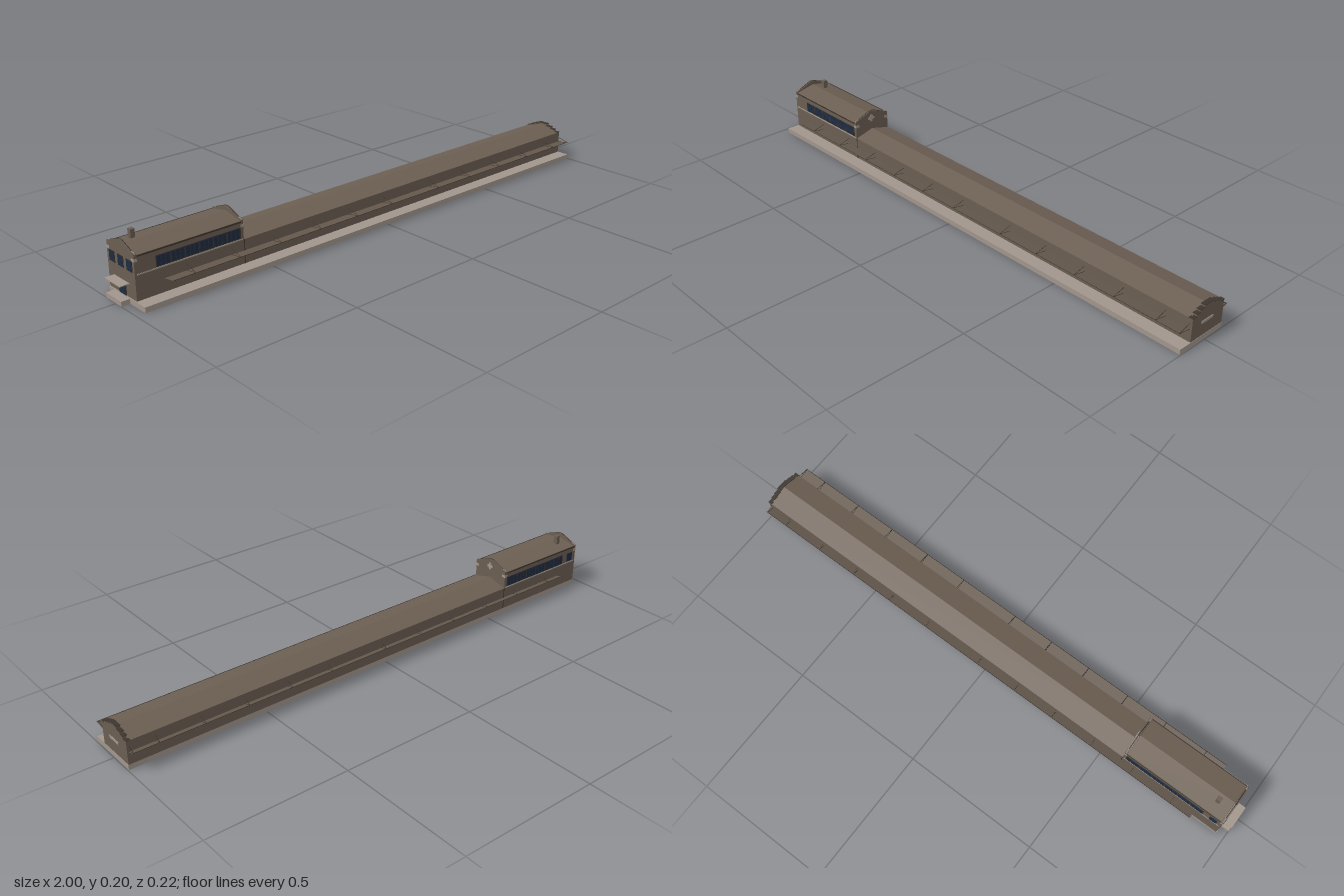
import * as THREE from 'three';

const material = (name, color, side = THREE.FrontSide) => {
  const m = new THREE.MeshStandardMaterial({ color, side });
  m.name = name;
  return m;
};

export function createModel() {
  const wall = material('brown wall', 0x6a5e52);
  const roof = material('brown roof', 0x6c5e52);
  const stone = material('pale stone', 0xa1968c);
  const trim = material('dark trim', 0x3d362f);
  const glass = material('blue glass', 0x1f2c42);
  const sheet = material('canopy brown', 0x64584c, THREE.DoubleSide);

  const model = new THREE.Group();
  model.name = 'railwayShed';
  const ZF = 0.064, ZB = -0.085, ZM = -0.0105;

  const add = (name, geometry, mat) => {
    const mesh = new THREE.Mesh(geometry, mat);
    mesh.name = name;
    model.add(mesh);
    return mesh;
  };
  // Box given by its two extreme corners
  const box = (name, mat, x0, x1, y0, y1, z0, z1) => {
    const g = new THREE.BoxGeometry(x1 - x0, y1 - y0, z1 - z0);
    g.translate((x0 + x1) / 2, (y0 + y1) / 2, (z0 + z1) / 2);
    return add(name, g, mat);
  };
  // Cross-section of [z, y] points drawn out along x
  const section = (name, mat, points, x0, x1) => {
    const shape = new THREE.Shape(points.map(([z, y]) => new THREE.Vector2(z, y)));
    const g = new THREE.ExtrudeGeometry(shape, { depth: x1 - x0, bevelEnabled: false });
    g.rotateY(-Math.PI / 2).translate(x1, 0, 0);
    return add(name, g, mat);
  };
  // Thin rod between two points
  const rod = (name, mat, a, b, r) => {
    const path = new THREE.LineCurve3(new THREE.Vector3(...a), new THREE.Vector3(...b));
    return add(name, new THREE.TubeGeometry(path, 1, r, 4), mat);
  };

  // Platform running under the whole building, and end steps
  box('platform', stone, -0.97, 0.997, 0, 0.018, ZB, 0.112);
  box('endStep', stone, -1, -0.97, 0, 0.016, -0.055, 0.03);
  box('endCanopy', stone, -1, -0.965, 0.062, 0.065, -0.055, 0.03);

  // Long low shed with pitched roof
  box('shedWalls', wall, -0.58, 0.985, 0.018, 0.1, ZB, ZF);
  section('shedRoof', roof, [[ZB, 0.1], [ZF, 0.1], [ZM, 0.12]], -0.58, 0.985);

  // Stepped end gable, mirrored about the ridge
  const steps = [[0.0745, 0.018], [0.0745, 0.102], [0.057, 0.102], [0.057, 0.11],
    [0.041, 0.11], [0.041, 0.117], [0.021, 0.117], [0.021, 0.125]];
  const stepped = [...steps.map(([d, y]) => [ZM + d, y]),
    ...[...steps].reverse().map(([d, y]) => [ZM - d, y])];
  section('steppedGable', wall, stepped, 0.983, 0.996);
  // Dark coping on each tread
  for (const s of [-1, 1]) {
    [[0.057, 0.0755, 0.102], [0.041, 0.058, 0.11], [0.021, 0.042, 0.117], [0, 0.022, 0.125]].forEach(([a, b, y]) => {
      const z = [ZM + s * a, ZM + s * b].sort((p, q) => p - q);
      box('gableCoping', trim, 0.981, 0.997, y - 0.0008, y + 0.0008, z[0], z[1]);
    });
  }
  box('endPlate', stone, 0.993, 0.998, 0.063, 0.072, -0.035, 0.019);

  // Tall office block, its roof kept below the parapet gables
  box('officeWalls', wall, -0.96, -0.582, 0.018, 0.16, ZB, ZF);
  section('officeRoof', roof, [[ZB, 0.16], [ZF, 0.16], [ZF - 0.002, 0.163], [ZM, 0.178], [ZB + 0.002, 0.163]], -0.96, -0.582);
  const gableTop = [[ZF, 0.166], [ZF - 0.004, 0.17], [ZF - 0.016, 0.172],
    [ZM + 0.008, 0.192], [ZM - 0.008, 0.192], [ZB + 0.016, 0.172], [ZB + 0.004, 0.17], [ZB, 0.166]];
  for (const [x0, x1] of [[-0.967, -0.957], [-0.587, -0.577]]) {
    section('officeGable', wall, [[ZB, 0.018], [ZF, 0.018], ...gableTop], x0, x1);
    // Pale kneelers at the gable corners
    for (const [z0, z1] of [[ZB - 0.001, ZB + 0.014], [ZF - 0.014, ZF + 0.001]]) {
      box('kneeler', stone, x0 - 0.001, x1 + 0.001, 0.143, 0.152, z0, z1);
    }
    // Coping following the gable outline, pale on the shoulders
    for (let i = 0; i < gableTop.length - 1; i++) {
      const [a, b] = [gableTop[i], gableTop[i + 1]];
      rod('officeCoping', i < 2 || i > 4 ? stone : trim, [x0 + 0.005, a[1], a[0]], [x0 + 0.005, b[1], b[0]], 0.0015);
    }
  }
  // Cross-shaped relief with a broad centre on the gable facing the shed roof
  box('reliefUpright', stone, -0.578, -0.574, 0.151, 0.177, -0.012, -0.004);
  box('reliefBar', stone, -0.578, -0.574, 0.16, 0.168, -0.021, 0.005);
  box('reliefCentre', stone, -0.578, -0.5745, 0.157, 0.171, -0.015, -0.001);

  // Chimney
  box('chimney', wall, -0.918, -0.903, 0.16, 0.203, -0.044, -0.028);

  // Office side details: sill, gutter and window row on both sides
  for (const s of [1, -1]) {
    const z = s > 0 ? ZF : ZB;
    const plate = (name, mat, x0, x1, y0, y1, t) =>
      box(name, mat, x0, x1, y0, y1, Math.min(z, z + s * t), Math.max(z, z + s * t));
    plate('officeSill', stone, -0.96, -0.582, 0.1, 0.104, 0.0015);
    plate('officeGutter', trim, -0.957, -0.587, 0.158, 0.163, 0.0015);
    plate('windowFrame', trim, -0.895, -0.588, 0.106, 0.143, 0.001);
    for (let i = 0; i < 6; i++) {
      const x = -0.892 + i * 0.0508;
      for (let k = 0; k < 3; k++) plate('windowPane', glass, x + k * 0.0155, x + k * 0.0155 + 0.0135, 0.108, 0.141, 0.002);
    }
    if (s < 0) plate('cornerWindow', glass, -0.948, -0.92, 0.108, 0.141, 0.002);
    plate('wallJoint', trim, -0.577, -0.574, 0.018, 0.1, 0.001);
  }

  // End wall windows and blue door
  for (const z of [-0.058, -0.0105, 0.037]) {
    box('endWindowFrame', trim, -0.968, -0.964, 0.106, 0.143, z - 0.016, z + 0.016);
    box('endWindow', glass, -0.969, -0.964, 0.108, 0.141, z - 0.014, z + 0.014);
  }
  box('endDoorFrame', trim, -0.968, -0.964, 0.018, 0.059, -0.032, 0.01);
  box('endDoor', glass, -0.969, -0.964, 0.018, 0.056, -0.029, 0.007);

  // Canopies on both long sides with tie rods above
  const rods = [-0.79, -0.625, -0.465, -0.3, -0.14, 0.02, 0.25, 0.415, 0.58, 0.74, 0.9, 0.988];
  for (const [z, edge] of [[ZF, 0.112], [ZB, -0.112]]) {
    const s = Math.sign(edge);
    const g = new THREE.PlaneGeometry(1.862, 1).rotateX(-Math.PI / 2);
    const p = g.attributes.position;
    for (let i = 0; i < p.count; i++) {
      const outer = p.getZ(i) * s > 0;
      p.setXYZ(i, p.getX(i) + 0.061, outer ? 0.07 : 0.062, outer ? edge : z);
    }
    g.computeVertexNormals();
    add('canopy', g, sheet);
    rod('canopyEdge', trim, [-0.87, 0.07, edge - s * 0.001], [0.992, 0.07, edge - s * 0.001], 0.001);
    for (const x of rods) {
      rod('canopyTie', trim, [x, 0.083, z], [x, 0.071, edge - s * 0.001], 0.001);
      rod('canopyRib', trim, [x, 0.0622, z], [x, 0.0702, edge - s * 0.001], 0.001);
    }
  }
  return model;
}
